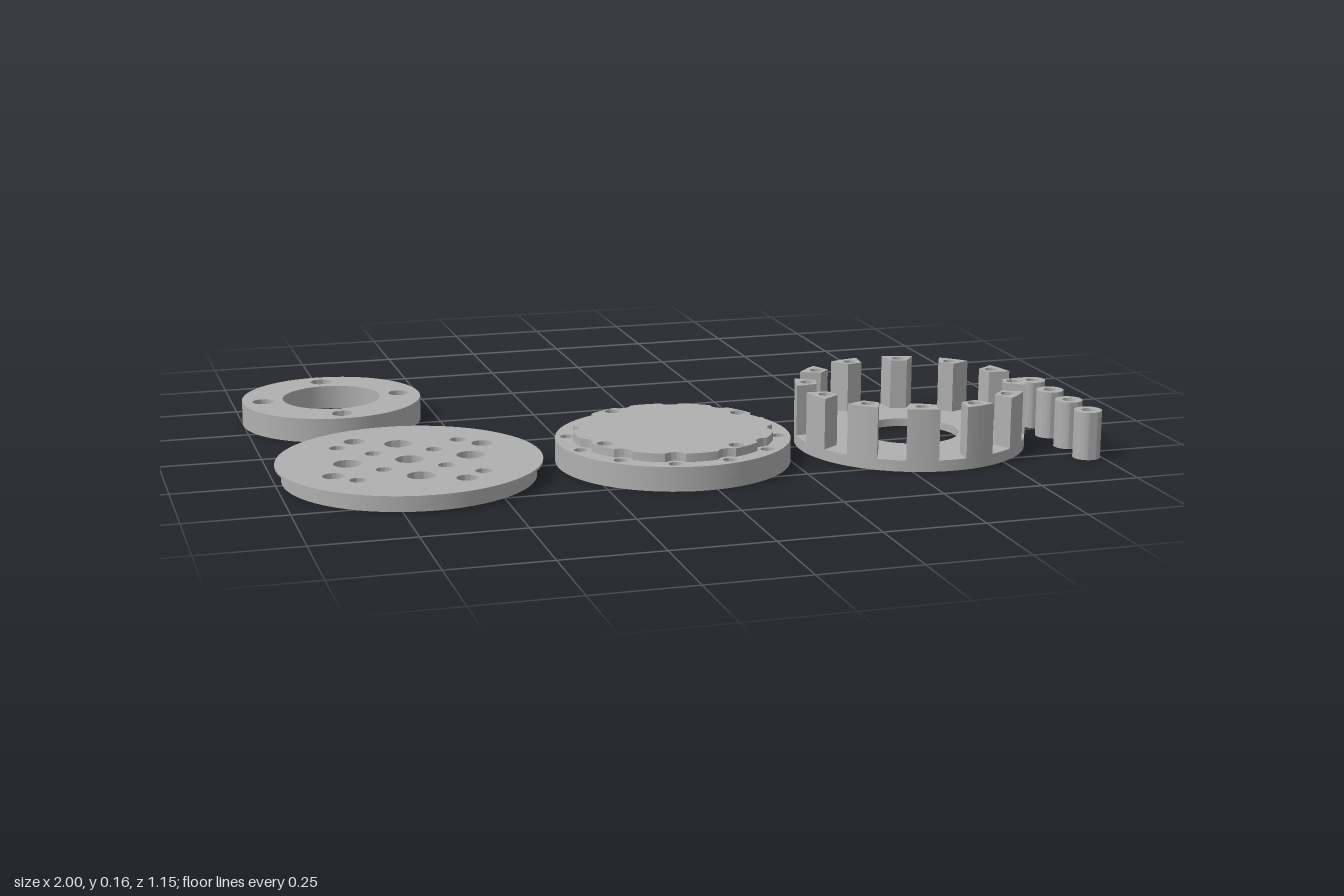
import * as THREE from 'three';
import { toCreasedNormals } from 'three/addons/utils/BufferGeometryUtils.js';

const gray = new THREE.MeshStandardMaterial({ color: 0xb0b0b0 });
gray.name = 'machined gray';

// Holes are [x, z, radius] relative to the part centre
const ringOf = (n, r, size, start = 0) => Array.from({ length: n }, (_, i) => {
  const a = start + (i * Math.PI * 2) / n;
  return [Math.cos(a) * r, Math.sin(a) * r, size];
});

function circle(r) {
  const s = new THREE.Shape();
  s.absarc(0, 0, r, 0, Math.PI * 2, false);
  return s;
}

// Horizontal slab from y0 to y1 with round holes through it
function slab(name, shape, y0, y1, holes = []) {
  for (const [x, z, r] of holes) {
    const p = new THREE.Path();
    p.absarc(x, -z, r, 0, Math.PI * 2, true);
    shape.holes.push(p);
  }
  const g = new THREE.ExtrudeGeometry(shape, { depth: y1 - y0, bevelEnabled: false, curveSegments: 32 });
  g.rotateX(-Math.PI / 2).translate(0, y0, 0);
  const mesh = new THREE.Mesh(toCreasedNormals(g, 0.5), gray);
  mesh.name = name;
  return mesh;
}

function part(name, x, z, ...meshes) {
  const g = new THREE.Group();
  g.name = name;
  g.position.set(x, 0, z);
  g.add(...meshes);
  return g;
}

const RIM = Math.PI / 12; // rim bolts sit at 15 degrees plus steps of 30
const rimHoles = (size) => ringOf(12, 0.26, size, RIM);
const boltHoles = (size) => ringOf(4, Math.hypot(0.1, 0.2), size, Math.atan2(0.2, 0.1));

// Disc outline with a round bite around every rim bolt
function scalloped(radius, bite) {
  const pts = [];
  for (let i = 0; i < 360; i++) {
    const a = (i * Math.PI) / 180;
    const d = (a % (Math.PI / 6)) - RIM;
    const side = 0.26 * Math.sin(d);
    let r = radius;
    if (Math.abs(side) < bite) r = Math.min(r, 0.26 * Math.cos(d) - Math.sqrt(bite * bite - side * side));
    pts.push(new THREE.Vector2(Math.cos(a) * r, Math.sin(a) * r));
  }
  return new THREE.Shape(pts);
}

// Wedge post: narrow inside, wide at the rim, with a bolt hole
function post(angle) {
  const outer = 0.29, half = Math.asin(0.04 / outer);
  const s = new THREE.Shape();
  s.moveTo(0.237, -0.021);
  s.lineTo(outer * Math.cos(half), -0.04);
  s.absarc(0, 0, outer, -half, half, false);
  s.lineTo(0.237, 0.021);
  s.closePath();
  const m = slab('post', s, 0.028, 0.156, [[0.26, 0, 0.016]]);
  m.rotation.y = angle;
  return m;
}

export function createModel() {
  const model = new THREE.Group();
  model.name = 'rotary assembly parts';

  // Flange ring with counterbored bolts
  const bore = [0, 0, 0.126];
  model.add(part('flangeRing', -0.77, -0.345,
    slab('flangeLower', circle(0.231), 0, 0.035, [bore, ...ringOf(4, 0.178, 0.019)]),
    slab('flangeUpper', circle(0.231), 0.035, 0.061, [bore, ...ringOf(4, 0.178, 0.027)])));

  // Perforated disc with a thin overhanging lip
  const vents = [
    [0, 0, 0.034], ...ringOf(4, 0.15, 0.034),
    ...ringOf(4, 0.075 * Math.SQRT2, 0.02, Math.PI / 4),
    ...ringOf(4, 0.15 * Math.SQRT2, 0.02, Math.PI / 4),
  ];
  model.add(part('perforatedDisc', -0.677, 0.25,
    slab('discBase', circle(0.307), 0, 0.02, [...vents, ...boltHoles(0.019)]),
    slab('discUpper', circle(0.307), 0.02, 0.036, [...vents, ...boltHoles(0.026)]),
    slab('discLip', circle(0.322), 0.036, 0.042, [...vents, ...boltHoles(0.026)])));

  // Cover with a scalloped raised face and a hollow underside
  model.add(part('cover', -0.025, 0.28,
    slab('coverFoot', circle(0.29), 0, 0.03, [[0, 0, 0.13], ...rimHoles(0.017), ...boltHoles(0.026)]),
    slab('coverBody', circle(0.29), 0.03, 0.06, [[0, 0, 0.13], ...rimHoles(0.017), ...boltHoles(0.019)]),
    slab('coverFace', scalloped(0.247, 0.028), 0.06, 0.081, boltHoles(0.019))));

  // Crown: flat ring carrying twelve posts, with a shallow recess below
  const posts = Array.from({ length: 12 }, (_, i) => post(RIM + (i * Math.PI) / 6));
  model.add(part('crown', 0.598, 0.28,
    slab('crownRim', circle(0.29), 0, 0.008, [[0, 0, 0.225], ...rimHoles(0.016)]),
    slab('crownBase', circle(0.29), 0.008, 0.028, [bore, ...rimHoles(0.016)]),
    ...posts));

  // Spacer tubes
  for (let i = 0; i < 4; i++) {
    model.add(part('spacer', 0.966, 0.21 + i * 0.11,
      slab('spacerTube', circle(0.034), 0, 0.12, [[0, 0, 0.016]])));
  }
  return model;
}
